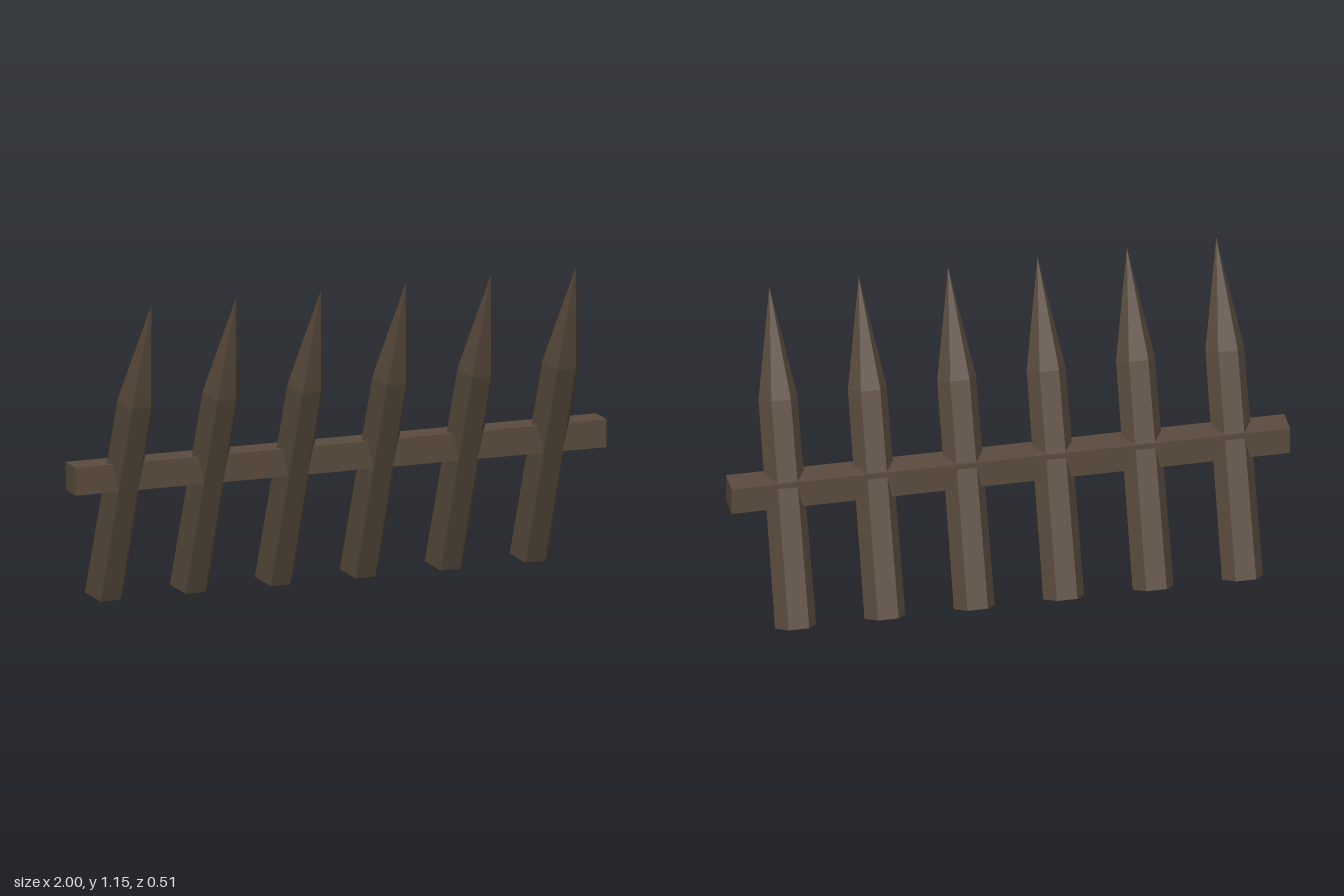
import * as THREE from 'three';

export function createModel() {
  const model = new THREE.Group();
  model.name = 'spikedBarricade';
  const wood = new THREE.MeshStandardMaterial({ color: 0x5a4b3e, flatShading: true });
  wood.name = 'dark brown wood';

  const add = (parent, geometry, name) => {
    const mesh = new THREE.Mesh(geometry, wood);
    mesh.name = name;
    parent.add(mesh);
    return mesh;
  };

  // Square rail running through all the stakes
  add(model, new THREE.BoxGeometry(2, 0.1, 0.1), 'rail').position.set(0, 0.485, -0.016);

  // Hexagonal stake: slightly tapered shaft and a long point, corners on the x axis
  const shaftLength = 0.817, pointLength = 0.397;
  const shaft = new THREE.CylinderGeometry(0.0695, 0.0735, shaftLength, 6, 1, true, Math.PI / 6);
  shaft.translate(0, shaftLength / 2, 0);
  const base = new THREE.CircleGeometry(0.0735, 6);
  base.rotateX(Math.PI / 2);
  const point = new THREE.ConeGeometry(0.0695, pointLength, 6, 1, true, Math.PI / 6);
  point.translate(0, shaftLength + pointLength / 2, 0);

  // Six stakes leaning forward
  for (let i = 0; i < 6; i++) {
    const stake = new THREE.Group();
    stake.name = `stake${i + 1}`;
    add(stake, shaft, 'stakeShaft');
    add(stake, base, 'stakeBase');
    add(stake, point, 'stakePoint');
    stake.position.set(-0.802 + i * 0.32, 0.025, -0.195);
    stake.rotation.x = 0.379;
    model.add(stake);
  }
  return model;
}
